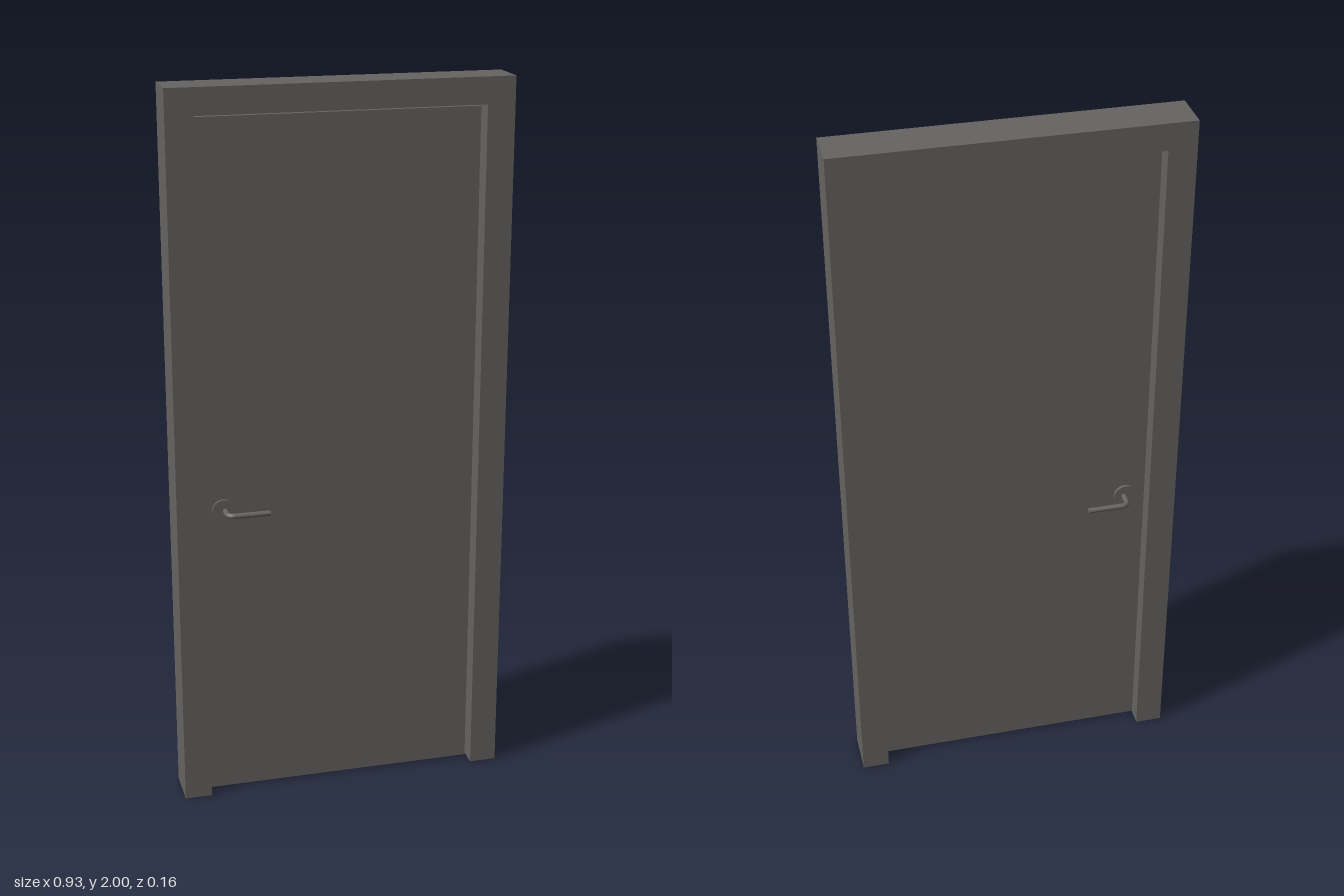
import * as THREE from 'three';

export function createModel() {
  const model = new THREE.Group();
  model.name = 'door';
  const grey = new THREE.MeshStandardMaterial({ color: 0x666461 });
  grey.name = 'warm grey';

  const add = (parent, name, geometry, x = 0, y = 0, z = 0) => {
    const mesh = new THREE.Mesh(geometry, grey);
    mesh.name = name;
    mesh.position.set(x, y, z);
    parent.add(mesh);
    return mesh;
  };

  // Frame: two jambs and a head as one U-shaped solid
  const outer = 0.463, inner = 0.387, head = 1.928;
  const outline = new THREE.Shape([
    [-outer, 0], [-inner, 0], [-inner, head], [inner, head],
    [inner, 0], [outer, 0], [outer, 2], [-outer, 2],
  ].map(([x, y]) => new THREE.Vector2(x, y)));
  add(model, 'frame', new THREE.ExtrudeGeometry(outline, { depth: 0.12, bevelEnabled: false }), 0, 0, -0.065);

  // Leaf, with a small clearance inside the frame
  const left = -0.386, right = 0.381, bottom = 0.006, top = 1.92, half = 0.02;
  add(model, 'leaf', new THREE.BoxGeometry(right - left, top - bottom, half * 2),
    (left + right) / 2, (top + bottom) / 2, 0);

  // Lever handle on each face of the leaf
  const postX = -0.325, tipX = -0.21, leverZ = 0.0725, bend = 0.02, radius = 0.0075;
  for (const side of [1, -1]) {
    const handle = new THREE.Group();
    handle.name = side > 0 ? 'frontHandle' : 'backHandle';
    handle.position.y = 0.853;
    model.add(handle);

    const rosette = new THREE.CylinderGeometry(0.032, 0.032, 0.008, 40).rotateX(Math.PI / 2);
    add(handle, 'rosette', rosette, -0.329, 0, side * (half + 0.004));

    const p = (x, z) => new THREE.Vector3(x, 0, side * z);
    const path = new THREE.CurvePath();
    path.add(new THREE.LineCurve3(p(postX, half), p(postX, leverZ - bend)));
    path.add(new THREE.QuadraticBezierCurve3(
      p(postX, leverZ - bend), p(postX, leverZ), p(postX + bend, leverZ)));
    path.add(new THREE.LineCurve3(p(postX + bend, leverZ), p(tipX, leverZ)));
    add(handle, 'lever', new THREE.TubeGeometry(path, 48, radius, 20, false));
    add(handle, 'leverEnd', new THREE.CircleGeometry(radius, 20).rotateY(Math.PI / 2), tipX, 0, side * leverZ);
  }
  return model;
}
